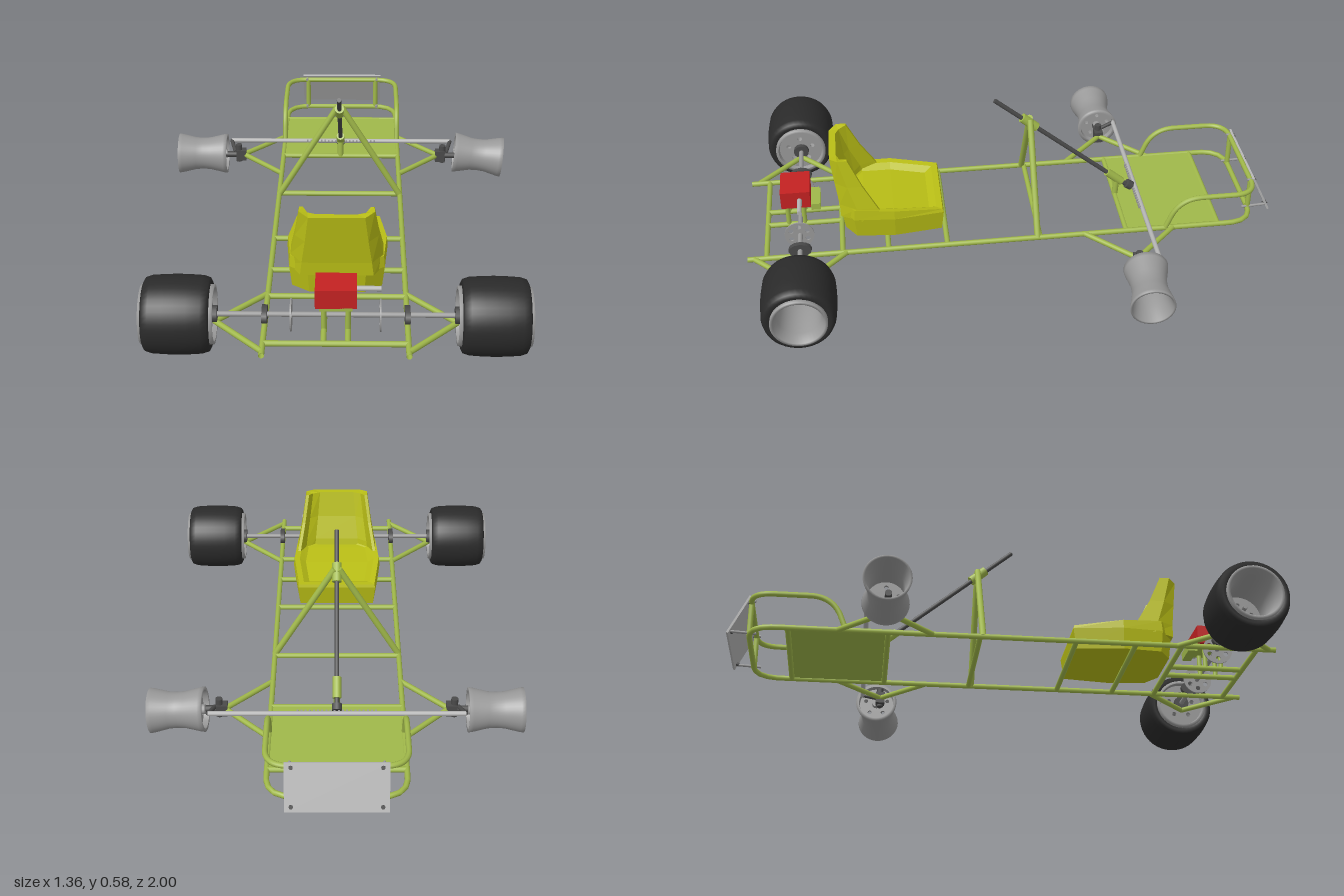
import * as THREE from 'three';

const mat = (color, flat = false) =>
  new THREE.MeshStandardMaterial({ color, side: THREE.DoubleSide, flatShading: flat });
const GREEN = mat(0xa0b84a), YELLOW = mat(0xb9be16, true), RED = mat(0xc42222);
const BLACK = mat(0x2a2a2a), METAL = mat(0x999999), DARK = mat(0x4a4a4a), STEEL = mat(0xb4b4b4);
const V = (x, y, z) => new THREE.Vector3(x, y, z);

export function createModel() {
  const model = new THREE.Group();
  model.position.x = -0.008;

  const add = (name, geo, material, pos = [0, 0, 0], parent = model) => {
    const m = new THREE.Mesh(geo, material);
    m.name = name;
    m.position.set(...pos);
    parent.add(m);
    return m;
  };
  const box = (name, size, pos, material, parent) =>
    add(name, new THREE.BoxGeometry(...size), material, pos, parent);
  // Straight round bar between two points
  const bar = (name, a, b, r = 0.01, material = GREEN, parent = model) => {
    const p = V(...a), q = V(...b), d = q.clone().sub(p);
    const m = add(name, new THREE.CylinderGeometry(r, r, d.length(), 12), material,
      p.clone().add(q).multiplyScalar(0.5).toArray(), parent);
    m.quaternion.setFromUnitVectors(V(0, 1, 0), d.normalize());
    return m;
  };
  // Bar running along x
  const xBar = (name, x0, x1, y, z, r, material, parent) =>
    bar(name, [x0, y, z], [x1, y, z], r, material, parent);
  // Bent tube: straight runs joined by rounded corners
  const bentTube = (name, pts, bend, r = 0.01) => {
    const path = new THREE.CurvePath();
    const p = pts.map(a => V(...a));
    let last = p[0];
    for (let i = 1; i < p.length - 1; i++) {
      const a = p[i].clone().add(p[i - 1].clone().sub(p[i]).setLength(bend));
      const b = p[i].clone().add(p[i + 1].clone().sub(p[i]).setLength(bend));
      path.add(new THREE.LineCurve3(last, a));
      path.add(new THREE.QuadraticBezierCurve3(a, p[i], b));
      last = b;
    }
    path.add(new THREE.LineCurve3(last, p[p.length - 1]));
    return add(name, new THREE.TubeGeometry(path, 120, r, 10), GREEN);
  };
  // Skin over matching rings, closed by strips at both ends
  const loft = (name, rings, material) => {
    const n = rings[0].length, idx = [];
    for (let k = 0; k < rings.length - 1; k++)
      for (let i = 0; i < n; i++) {
        const a = k * n + i, b = k * n + (i + 1) % n;
        idx.push(a, a + n, b, b, a + n, b + n);
      }
    for (const [o, flip] of [[0, true], [(rings.length - 1) * n, false]])
      for (let i = 0; i < n / 2 - 1; i++) {
        const a = o + i, b = a + 1, c = o + n - 2 - i, d = c + 1;
        idx.push(...(flip ? [a, b, c, a, c, d] : [a, c, b, a, d, c]));
      }
    const g = new THREE.BufferGeometry();
    g.setAttribute('position', new THREE.Float32BufferAttribute(rings.flat(2), 3));
    g.setIndex(idx);
    const flat = g.toNonIndexed();
    flat.computeVertexNormals();
    return add(name, flat, material);
  };
  // Profile of [radius, x] turned about the x axis
  const turned = (name, profile, material, parent) => {
    const g = new THREE.LatheGeometry(profile.map(p => new THREE.Vector2(...p)), 40);
    g.rotateZ(-Math.PI / 2);
    return add(name, g, material, [0, 0, 0], parent);
  };
  // Thin disc facing x with a ring of round holes
  const disc = (name, r, t, holes, ringR, holeR, x, parent, material = METAL) => {
    const s = new THREE.Shape().absarc(0, 0, r, 0, Math.PI * 2);
    for (let i = 0; i < holes; i++) {
      const a = Math.PI / 2 + i * Math.PI * 2 / holes;
      s.holes.push(new THREE.Path().absarc(ringR * Math.cos(a), ringR * Math.sin(a), holeR, 0, Math.PI * 2, true));
    }
    const g = new THREE.ExtrudeGeometry(s, { depth: t, bevelEnabled: false, curveSegments: 20 });
    g.translate(0, 0, -t / 2);
    g.rotateY(Math.PI / 2);
    return add(name, g, material, [x, 0, 0], parent);
  };

  // Main frame
  const RX = 0.238, Y = 0.105;
  bentTube('lowerFrame', [[-RX, Y, 1], [-RX, Y, -0.915], [RX, Y, -0.915], [RX, Y, 1]], 0.1);
  bentTube('bumperBar', [[-RX, Y, -0.57], [-RX, 0.235, -0.62], [-RX, 0.235, -0.915],
    [RX, 0.235, -0.915], [RX, 0.235, -0.62], [RX, Y, -0.57]], 0.085);
  for (const z of [-0.775, -0.42, -0.09, 0.26, 0.48, 0.65, 0.93])
    xBar('crossBar', -RX, RX, Y, z);
  box('floorPan', [0.46, 0.006, 0.36], [0, Y + 0.004, -0.6], GREEN);

  for (const s of [-1, 1]) {
    bar('bumperPost', [s * 0.15, Y, -0.915], [s * 0.15, 0.235, -0.915]);
    // Side triangles that carry the axles
    for (const [z, name] of [[-0.43, 'frontOutrigger'], [0.805, 'rearOutrigger']])
      for (const d of [-0.17, 0.17])
        bar(name, [s * RX, Y, z + d], [s * 0.405, Y, z]);
    // Steering support and engine mount legs
    bar('steeringSupportLeg', [s * RX, Y, -0.08], [s * 0.008, 0.485, -0.08], 0.012);
    bar('engineRail', [s * 0.04, Y, 0.65], [s * 0.04, Y, 0.93]);
    for (const z of [0.79, 0.85]) bar('enginePost', [s * 0.04, Y, z], [s * 0.04, 0.2, z], 0.009);
    // Axle bearings
    for (const [x, w] of [[RX, 0.085], [0.405, 0.06]]) {
      const b = xBar('axleBearing', s * x - 0.009, s * x + 0.009, 0.135, 0.805, 0.028, DARK);
      b.scale.z = w / 0.056;
    }
    // Kingpin, stub axle and steering arm
    bar('kingpin', [s * 0.425, 0.075, -0.43], [s * 0.425, 0.15, -0.43], 0.013, DARK);
    box('kingpinBracket', [0.04, 0.045, 0.035], [s * 0.415, Y, -0.43], DARK);
    xBar('stubAxle', s * 0.42, s * 0.56, Y, -0.43, 0.012, DARK);
    bar('steeringArm', [s * 0.44, 0.115, -0.43], [s * 0.46, 0.135, -0.5], 0.008, DARK);
  }

  // Number plate, bolts and brackets
  const plate = new THREE.Group();
  plate.name = 'frontPlate';
  plate.position.set(0, 0.18, -0.956);
  plate.rotation.x = 0.45;
  model.add(plate);
  box('platePanel', [0.345, 0.166, 0.008], [0, 0, 0], STEEL, plate);
  for (const x of [-0.15, 0.15]) for (const y of [-0.065, 0.065])
    bar('plateBolt', [x, y, -0.008], [x, y, 0.012], 0.007, DARK, plate);
  for (const x of [-0.155, 0.155]) {
    bar('plateBracket', [x, 0.113, -0.89], [x, 0.118, -0.985], 0.005, METAL);
    bar('plateBracket', [x, 0.24, -0.9], [x, 0.24, -0.93], 0.005, METAL);
  }

  // Steering column, its holders and the rack
  bar('steeringColumn', [0, 0.575, 0.053], [0, 0.138, -0.475], 0.0085, DARK);
  bar('upperColumnSleeve', [0, 0.492, -0.05], [0, 0.445, -0.105], 0.018);
  bar('lowerColumnSleeve', [0, 0.213, -0.385], [0, 0.163, -0.445], 0.016);
  bar('columnPost', [0, Y, -0.42], [0, 0.18, -0.425], 0.012);
  xBar('steeringRack', -0.46, 0.46, 0.135, -0.5, 0.009, STEEL);
  for (let i = 0; i < 20; i++)
    box('rackTooth', [0.007, 0.008, 0.012], [-0.14 + i * 0.0148, 0.138, -0.491], METAL);
  bar('steeringPinion', [0, 0.152, -0.465], [0, 0.138, -0.485], 0.018, DARK);

  // Rear axle with brake disc and sprocket
  xBar('rearAxle', -0.53, 0.53, 0.135, 0.805, 0.009, METAL);
  for (const [name, x] of [['brakeDisc', -0.15], ['sprocket', 0.148]])
    disc(name, 0.055, 0.005, 6, 0.035, 0.009, x).position.set(x, 0.135, 0.808);

  // Engine
  box('engineBlock', [0.137, 0.07, 0.11], [0, 0.235, 0.815], RED);
  box('engineMountPlate', [0.11, 0.012, 0.14], [0, 0.196, 0.8], GREEN);
  box('engineBracket', [0.1, 0.03, 0.035], [0, 0.187, 0.742], GREEN);
  xBar('engineShaft', 0.06, 0.15, 0.235, 0.8, 0.009, STEEL);

  // Seat base: outline rings rising to a sloped rim, then dished in
  const outline = [[0.155, 0.265], [0.178, 0.45], [0.165, 0.6], [0.1, 0.645]];
  const plan = [...outline, ...outline.map(([x, z]) => [-x, z]).reverse()];
  const ring = (k, yFn) => plan.map(([x, z]) => {
    const zz = 0.455 + (z - 0.455) * k;
    return [x * k, yFn(zz), zz];
  });
  const rim = z => 0.207 + Math.max(0, Math.min(z - 0.265, 0.25)) * 0.12;
  loft('seatBase', [ring(0.95, () => 0.115), ring(1, () => 0.195), ring(0.98, rim),
    ring(0.86, z => rim(z) - 0.004), ring(0.72, z => rim(z) - 0.022)], YELLOW);

  // Wraparound backrest: C-shaped sections [y, halfWidth, wing z, back z, inner z]
  const back = [[0.19, 0.168, 0.48, 0.648, 0.58], [0.24, 0.16, 0.51, 0.65, 0.592],
    [0.33, 0.143, 0.562, 0.662, 0.625], [0.43, 0.127, 0.61, 0.675, 0.65]].map(([y, w, f, b, c]) => {
    const half = [[w, f], [w, f + (b - f) * 0.55], [w * 0.75, b]];
    const inner = [[w * 0.55, c], [w * 0.78, f + (c - f) * 0.7], [w - 0.012, f]];
    const neg = a => a.map(([x, z]) => [-x, z]).reverse();
    return [...half, ...neg(half), ...neg(inner), ...inner]
      .map(([x, z]) => [x, y + (Math.abs(x) > w * 0.9 && y > 0.4 ? 0.007 : 0), z]);
  });
  loft('seatBack', back, YELLOW);

  // Wheels: local +x points outward
  const wheel = (name, s, pos) => {
    const g = new THREE.Group(), spin = new THREE.Group();
    g.name = name;
    g.position.set(...pos);
    spin.rotation.y = s > 0 ? 0 : Math.PI;
    g.add(spin);
    model.add(g);
    return [g, spin];
  };
  for (const s of [-1, 1]) {
    const side = s > 0 ? 'Left' : 'Right';
    const [, rear] = wheel('rearWheel' + side, s, [s * 0.526, 0.134, 0.807]);
    turned('tyre', [[0.098, -0.106], [0.112, -0.112], [0.123, -0.106], [0.13, -0.085], [0.133, -0.04],
      [0.134, 0], [0.133, 0.04], [0.13, 0.085], [0.123, 0.106], [0.112, 0.112], [0.098, 0.106]], BLACK, rear);
    turned('rim', [[0.09, -0.122], [0.1, -0.122], [0.1, -0.105], [0.086, -0.08], [0.08, 0],
      [0.086, 0.08], [0.1, 0.105], [0.1, 0.122], [0.09, 0.122], [0.078, 0.08], [0.074, 0],
      [0.078, -0.08], [0.09, -0.122]], METAL, rear);
    disc('rimDisc', 0.088, 0.012, 5, 0.05, 0.009, -0.1, rear);
    xBar('hub', -0.118, -0.075, 0, 0, 0.02, METAL, rear);

    const [steer, front] = wheel('frontWheel' + side, s, [s * 0.574, Y, -0.437]);
    if (s > 0) steer.rotation.set(0, -0.07, -0.08);
    turned('rim', [[0.07, -0.1], [0.082, -0.1], [0.08, -0.085], [0.067, -0.03], [0.065, 0],
      [0.067, 0.03], [0.08, 0.085], [0.082, 0.1], [0.074, 0.1], [0.06, 0.03], [0.06, -0.03],
      [0.07, -0.1]], METAL, front);
    disc('rimDisc', 0.072, 0.01, 5, 0.045, 0.008, -0.075, front);
    xBar('hub', -0.1, -0.05, 0, 0, 0.018, METAL, front);
  }
  return model;
}
